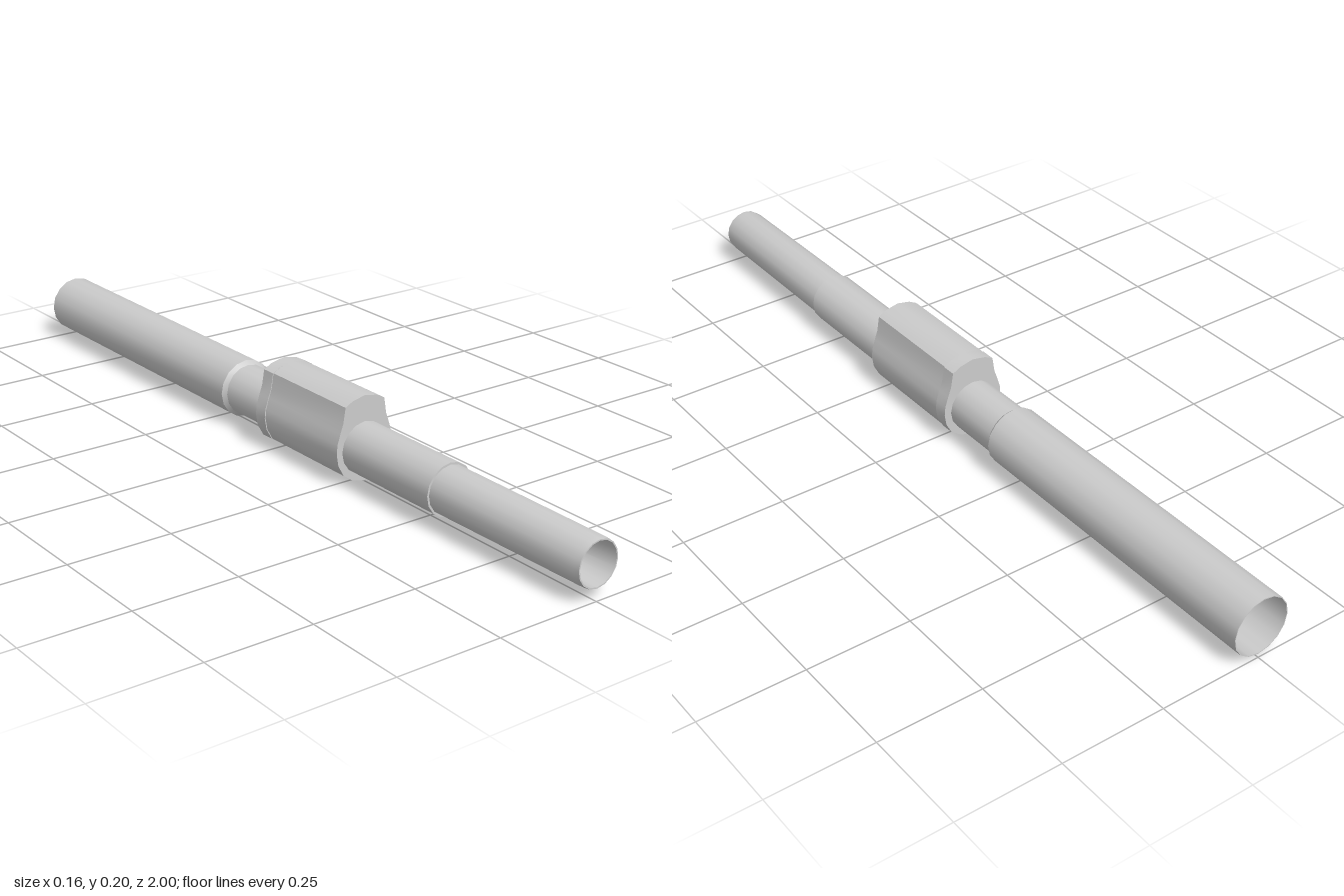
import * as THREE from 'three';
import { toCreasedNormals } from 'three/addons/utils/BufferGeometryUtils.js';

const AXIS_Y = 0.083;
const CREASE = 0.6;

export function createModel() {
  const group = new THREE.Group();
  const material = new THREE.MeshStandardMaterial({ color: 0xcccccc });

  const add = (name, geometry) => {
    const mesh = new THREE.Mesh(toCreasedNormals(geometry, CREASE), material);
    mesh.name = name;
    group.add(mesh);
    return mesh;
  };

  // Turned part along z; profile pairs are [radius, z], outside running towards +z
  const turned = (name, profile) => {
    const points = profile.map(([r, z]) => new THREE.Vector2(r, z));
    const mesh = add(name, new THREE.LatheGeometry(points, 16).rotateX(Math.PI / 2));
    mesh.position.y = AXIS_Y;
  };

  // Wide, thin-walled rear tube, open at the back
  turned('rearTube', [
    [0, -0.2], [0.069, -0.2], [0.069, -1], [0.071, -1], [0.071, -0.19], [0.062, -0.18], [0, -0.18],
  ]);

  // Narrower sleeve passing through the block
  turned('middleSleeve', [[0, -0.19], [0.062, -0.19], [0.062, 0.56], [0, 0.56]]);

  // Slightly tapered front tube with a funnel-shaped bore
  turned('frontTube', [
    [0.057, 0.5], [0.057, 0.56], [0.055, 0.985], [0.053, 1], [0.05, 1], [0.023, 0.57], [0, 0.57],
  ]);

  // Block cross-section: round below, narrowing to a shallow crown on top
  const right = [
    [0, 0.002], [0.033, 0.01], [0.06, 0.028], [0.075, 0.055], [0.08, 0.083],
    [0.078, 0.105], [0.07, 0.13], [0.062, 0.152], [0.056, 0.189], [0.035, 0.2], [0, 0.207],
  ];
  const left = right.slice(1, -1).reverse().map(([x, y]) => [-x, y]);
  const section = new THREE.Shape([...right, ...left].map(([x, y]) => new THREE.Vector2(x, y)));
  const slab = (name, z0, z1, widthScale) => {
    const geometry = new THREE.ExtrudeGeometry(section, { depth: z1 - z0, bevelEnabled: false });
    add(name, geometry.scale(widthScale, 1, 1).translate(0, 0, z0));
  };
  slab('block', 0, 0.27, 0.97);
  slab('blockRearLip', -0.035, 0, 1);

  return group;
}
